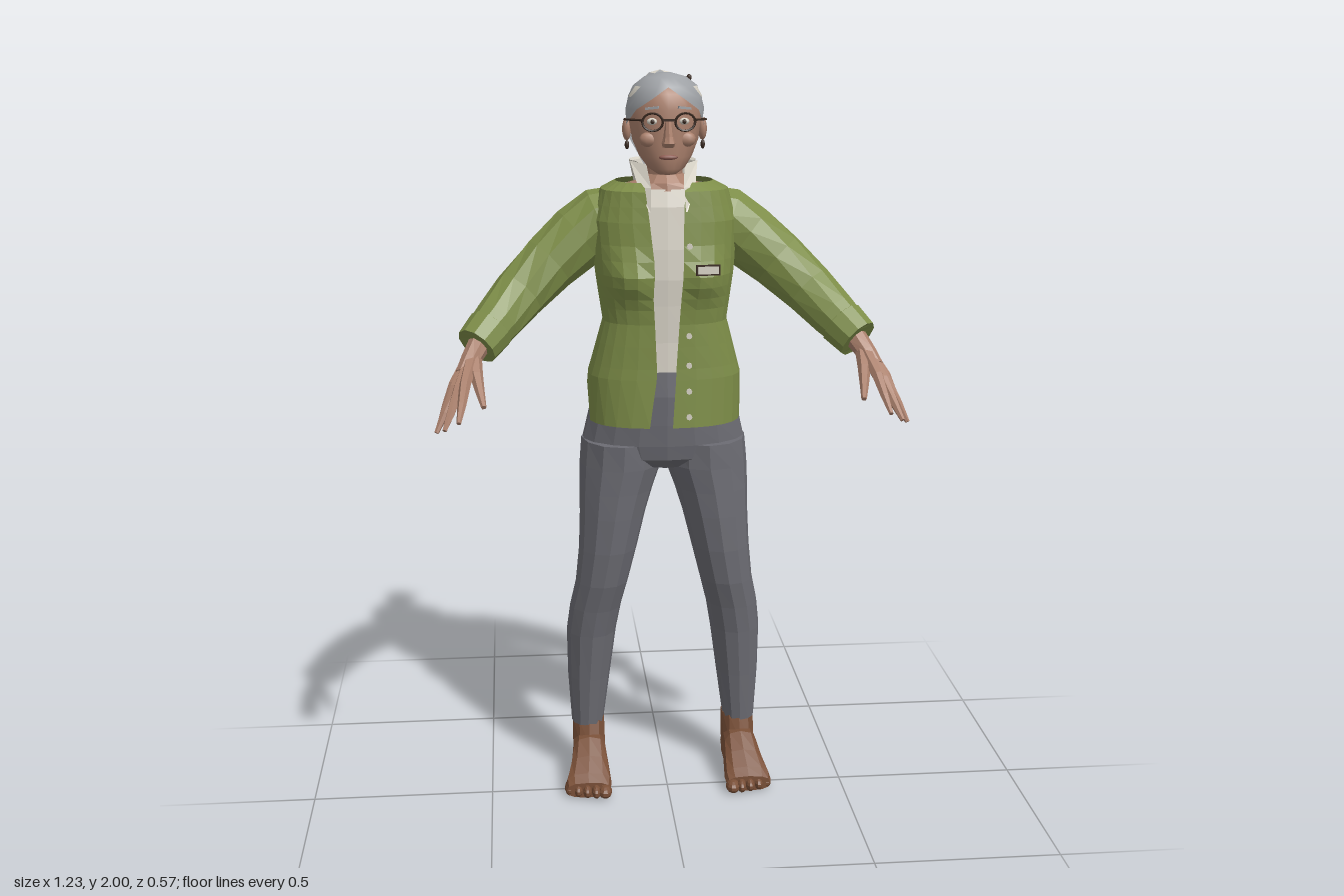
import * as THREE from 'three';
import { mergeVertices } from 'three/addons/utils/BufferGeometryUtils.js';

const V = (x, y, z) => new THREE.Vector3(x, y, z);
const { sin, cos, abs, sign, PI } = Math;

// Skin a list of equal-length rings; pick(i, j) sends quads to a second material
function loft(rings, { cap = false, pick = null } = {}) {
  const n = rings[0].length, pos = [], quads = [[], []];
  rings.forEach(r => r.forEach(p => pos.push(p.x, p.y, p.z)));
  for (let i = 0; i < rings.length - 1; i++)
    for (let j = 0; j < n - 1; j++) {
      const a = i * n + j, b = a + n;
      quads[pick && pick(i, j) ? 1 : 0].push(a, b, b + 1, a, b + 1, a + 1);
    }
  if (cap) for (const i of [0, rings.length - 1]) {
    const c = rings[i].slice(1).reduce((s, p) => s.add(p), V(0, 0, 0)).divideScalar(n - 1);
    const k = pos.length / 3;
    pos.push(c.x, c.y, c.z);
    for (let j = 0; j < n - 1; j++) {
      const a = i * n + j;
      quads[0].push(k, ...(i === 0 ? [a, a + 1] : [a + 1, a]));
    }
  }
  const g = new THREE.BufferGeometry();
  g.setAttribute('position', new THREE.Float32BufferAttribute(pos, 3));
  g.setIndex([...quads[0], ...quads[1]]);
  if (pick) {
    g.addGroup(0, quads[0].length, 0);
    g.addGroup(quads[0].length, quads[1].length, 1);
  }
  return g;
}

// Horizontal (super)ellipse ring running from angle a0 to a1, 0 = front
function ring(y, cx, rx, zf, zb, n, a0 = 0, a1 = 2 * PI, p = 1) {
  const zc = (zf + zb) / 2, rz = (zf - zb) / 2;
  const pw = v => sign(v) * abs(v) ** p;
  return Array.from({ length: n + 1 }, (_, j) => {
    const a = a0 + (a1 - a0) * j / n;
    return V(cx + rx * pw(sin(a)), y, zc + rz * pw(cos(a)));
  });
}

// Round limb through points [x, y, z, radius]
function limb(pts, n, cap = true) {
  const P = pts.map(p => V(p[0], p[1], p[2]));
  return loft(P.map((c, i) => {
    const t = P[Math.min(i + 1, P.length - 1)].clone().sub(P[Math.max(i - 1, 0)]).normalize();
    const u = V(0, 1, 0).cross(t).normalize(), v = u.clone().cross(t);
    return Array.from({ length: n + 1 }, (_, j) => {
      const a = 2 * PI * j / n;
      return c.clone().addScaledVector(u, pts[i][3] * cos(a)).addScaledVector(v, pts[i][3] * sin(a));
    });
  }), { cap });
}

// Torso section by height: [y, half width, front z, back z, right edge, left edge of the jacket opening]
const TORSO = [
  [1.72, .13, -.01, -.19, .06, .05], [1.70, .17, .02, -.21, .058, .045], [1.62, .195, .03, -.225, .048, .042],
  [1.5, .19, .042, -.235, .035, .04], [1.43, .18, .038, -.222, .04, .035], [1.35, .168, .03, -.2, .035, .03],
  [1.23, .2, .032, -.235, .03, .022], [1.18, .214, .035, -.255, .032, .02], [1.07, .21, .04, -.285, .05, .012]];
function torso(y) {
  let i = 0;
  while (i < TORSO.length - 2 && y < TORSO[i + 1][0]) i++;
  const a = TORSO[i], b = TORSO[i + 1], t = (a[0] - y) / (a[0] - b[0]);
  return a.map((v, k) => v + (b[k] - v) * t);
}
const bust = (x, y) => .03 * Math.exp(-(((abs(x) - .1) / .055) ** 2) - ((y - 1.47) / .05) ** 2);
function torsoFront(x, y) {
  const [, rx, zf, zb] = torso(y);
  return (zf + zb) / 2 + (zf - zb) / 2 * (1 - (abs(x) / rx) ** 2.5) ** .4 + bust(x, y);
}

export function createModel() {
  const root = new THREE.Group();
  const mat = (name, color, side = THREE.FrontSide) => {
    const m = new THREE.MeshStandardMaterial({ color, side });
    m.name = name;
    return m;
  };
  const jacket = mat('olive jacket', 0x7d8d48, THREE.DoubleSide);
  const cream = mat('cream', 0xd6d1c5, THREE.DoubleSide);
  const hair = mat('grey hair', 0x9fa2a6, THREE.DoubleSide);
  const skin = mat('skin', 0xaa806c), trousers = mat('grey trousers', 0x6c6c73);
  const shoe = mat('brown feet', 0x7a5038), dark = mat('dark brown', 0x38281f), lip = mat('lips', 0x8c5a50);

  function add(name, geo, material, smooth = false) {
    geo.deleteAttribute('uv');
    if (smooth) {
      geo.deleteAttribute('normal');
      geo = mergeVertices(geo, 1e-5);
    } else if (geo.index) geo = geo.toNonIndexed();
    geo.computeVertexNormals();
    const m = new THREE.Mesh(geo, material);
    m.name = name;
    root.add(m);
    return m;
  }
  const ball = (name, x, y, z, sx, sy, sz, m, smooth = true) =>
    add(name, new THREE.SphereGeometry(1, 10, 7).scale(sx, sy, sz).translate(x, y, z), m, smooth);

  // Jacket body, open down the front, with a stepped hem
  const ys = [1.72, 1.70, 1.66, 1.62, 1.56, 1.52, 1.48, 1.45, 1.42, 1.39, 1.35, 1.29, 1.23, 1.2, 1.07];
  add('jacketBody', loft(ys.map(y => {
    const [, rx, zf, zb, wr, wl] = torso(y);
    const ang = w => Math.asin((w / rx) ** 1.25);
    const r = ring(y, 0, rx, zf, zb, 26, ang(wl), 2 * PI - ang(wr), .8);
    r.forEach(p => {
      if (p.z > (zf + zb) / 2) p.z += bust(p.x, y);
      if (y === 1.07 && p.z < -.09) p.y = 1.19 - .13 * (-.09 - p.z) / .195;
    });
    return r;
  })), jacket);

  // Shirt under the jacket
  add('shirt', loft([1.705, 1.66, 1.55, 1.47, 1.4, 1.3, 1.22].map(y => {
    const [, rx, zf, zb] = torso(y);
    return ring(y, 0, rx - .022, zf - .01, zb + .015, 20, 0, 2 * PI, .8);
  })), cream);
  for (const y of [1.56, 1.32, 1.24, 1.17, 1.1])
    add('button', new THREE.CylinderGeometry(.008, .008, .006, 8).rotateX(PI / 2)
      .translate(.056, y, torsoFront(.056, y) + .003), cream);

  // Plain chest badge
  const badge = (name, w, h, d, m) => add(name, new THREE.BoxGeometry(w, h, .006).rotateY(.12)
    .translate(.103, 1.5, torsoFront(.103, 1.5) + d), m);
  badge('badgeRim', .064, .028, .005, dark);
  badge('badge', .056, .02, .007, cream);

  // Neck and collar
  add('neck', loft([ring(1.8, 0, .045, -.02, -.13, 12), ring(1.74, 0, .048, -.02, -.14, 12),
    ring(1.72, 0, .07, 0, -.17, 12), ring(1.7, 0, .145, .005, -.195, 12)]), skin);
  add('collar', loft([ring(1.765, 0, .08, -.05, -.225, 14, 1, 2 * PI - 1), ring(1.77, 0, .09, -.045, -.235, 14, 1, 2 * PI - 1),
    ring(1.7, 0, .075, -.065, -.215, 14, 1, 2 * PI - 1)]), cream);

  // Pelvis
  add('pelvis', loft([ring(1.25, 0, .165, .01, -.19, 18), ring(1.15, 0, .195, .018, -.235, 18),
    ring(1.07, 0, .212, .015, -.262, 18), ring(1.01, 0, .226, .01, -.268, 18),
    ring(.97, 0, .2, .002, -.255, 18), ring(.94, 0, .08, -.03, -.19, 18)], { cap: true }), trousers);

  for (const s of [1, -1]) {
    const side = s > 0 ? 'left' : 'right';

    // Collar points lying on the shirt
    add(side + 'CollarPoint', loft([[V(s * .09, 1.77, -.1), V(s * .05, 1.765, -.05)],
      [V(s * .075, 1.71, -.01), V(s * .043, 1.71, .012)], [V(s * .05, 1.65, .035), V(s * .046, 1.65, .036)]]), cream);

    // Sleeve with a turned cuff
    add(side + 'Sleeve', limb([[s * .1, 1.62, -.125, .085], [s * .17, 1.605, -.128, .092], [s * .23, 1.565, -.122, .088],
      [s * .31, 1.5, -.1, .08], [s * .39, 1.425, -.058, .072], [s * .45, 1.365, .003, .064],
      [s * .475, 1.34, .028, .059]], 11, false), jacket);
    add(side + 'Cuff', limb([[s * .465, 1.35, .018, .058], [s * .467, 1.348, .02, .064], [s * .505, 1.31, .058, .058],
      [s * .504, 1.311, .057, .048], [s * .48, 1.335, .033, .04]], 11, false), jacket);

    // Forearm, then fingers running from the wrist over the knuckles
    add(side + 'Forearm', limb([[s * .44, 1.38, -.01, .034], [s * .5, 1.312, .06, .03], [s * .522, 1.28, .095, .026],
      [s * .54, 1.25, .125, .022]], 8), skin);
    const fingers = [
      [[.535, 1.237, .178], [.543, 1.196, .235], [.551, 1.16, .283]],
      [[.55, 1.226, .173], [.571, 1.174, .22], [.588, 1.135, .255]],
      [[.56, 1.222, .157], [.588, 1.166, .192], [.61, 1.12, .216]],
      [[.564, 1.226, .137], [.586, 1.174, .157], [.603, 1.133, .172]]];
    for (const [k, m, t] of fingers)
      add(side + 'Finger', limb([[s * .513, 1.295, .075, .022], [s * k[0], k[1], k[2], .0155],
        [s * m[0], m[1], m[2], .0115], [s * t[0], t[1], t[2], .006]], 6), skin);
    add(side + 'Thumb', limb([[s * .512, 1.288, .085, .02], [s * .506, 1.25, .145, .017],
      [s * .497, 1.218, .195, .012], [s * .488, 1.19, .24, .007]], 6), skin);

    // Trouser leg: [y, inner x, outer x, front z, back z]
    const leg = [[1.01, .002, .228, .01, -.268], [.94, .004, .234, .008, -.25], [.87, .03, .236, .006, -.23],
      [.8, .052, .236, .005, -.212], [.7, .077, .24, 0, -.19], [.6, .102, .25, -.012, -.185],
      [.52, .122, .267, -.032, -.197], [.44, .136, .277, -.047, -.215], [.3, .155, .275, -.066, -.205], [.155, .175, .266, -.083, -.185]];
    add(side + 'TrouserLeg', loft(leg.map(([y, a, b, zf, zb]) =>
      ring(y, s * (a + b) / 2, (b - a) / 2, zf, zb, 12)), { cap: true }), trousers);

    // Foot: ankle, body with a flat sole, toes
    add(side + 'Ankle', loft([ring(.165, s * .218, .047, -.085, -.198, 10), ring(.1, s * .218, .048, -.06, -.198, 10),
      ring(.03, s * .218, .046, -.04, -.2, 10)], { cap: true }), shoe);
    const foot = [[-.202, .218, .05, .028], [-.185, .218, .09, .042], [-.11, .218, .135, .048], [-.06, .219, .13, .05],
      [-.01, .222, .095, .057], [.035, .227, .063, .065], [.06, .228, .045, .062]];
    add(side + 'Foot', loft(foot.map(([z, x, h, w]) => Array.from({ length: 13 }, (_, j) => {
      const a = 2 * PI * j / 12, up = -sin(a);
      return V(s * x + w * sign(cos(a)) * abs(cos(a)) ** .7, Math.max(0, h / 2 + h / 2 * sign(up) * abs(up) ** .8), z);
    })), { cap: true }), shoe);
    for (let k = 0; k < 5; k++)
      ball(side + 'Toe', s * (.182 + k * .025), .019, .062 - k * k * .0018, k ? .013 : .02, .019, .03, shoe, false);

    // Side of the face: eye, brow, spectacles, ear, earring
    ball(side + 'Eye', s * .041, 1.882, .026, .014, .009, .012, cream);
    ball(side + 'Pupil', s * .041, 1.882, .035, .006, .006, .005, dark);
    add(side + 'Brow', new THREE.BoxGeometry(.035, .006, .008).rotateZ(-s * .12).rotateY(s * .35).translate(s * .042, 1.916, .031), hair);
    add(side + 'Rim', new THREE.TorusGeometry(.026, .0035, 5, 16).scale(1, .85, 1).rotateY(s * .15).translate(s * .042, 1.882, .05), dark);
    add(side + 'Temple', limb([[s * .068, 1.887, .047, .003], [s * .098, 1.887, .025, .003], [s * .106, 1.88, -.075, .003]], 5), dark);
    ball(side + 'Ear', s * .1, 1.855, -.075, .012, .03, .019, skin);
    ball(side + 'Earring', s * .1, 1.815, -.066, .006, .012, .006, dark);
    ball(side + 'Cheek', s * .048, 1.835, .012, .026, .02, .018, skin);
  }

  // Head
  const head = [[1.995, .015, -.04, -.08], [1.98, .05, -.01, -.115], [1.95, .083, .028, -.15], [1.91, .094, .037, -.165],
    [1.875, .094, .036, -.165], [1.83, .087, .037, -.15], [1.79, .07, .035, -.125], [1.76, .048, .033, -.08], [1.745, .025, .02, -.05]];
  add('head', loft(head.map(([y, rx, zf, zb]) => ring(y, 0, rx, zf, zb, 20)), { cap: true }), skin, true);
  add('nose', loft([ring(1.885, 0, .009, .043, .01, 8), ring(1.845, 0, .013, .06, .01, 8), ring(1.828, 0, .018, .069, .01, 8),
    ring(1.817, 0, .015, .056, .01, 8)], { cap: true }), skin);
  ball('lips', 0, 1.791, .032, .025, .007, .009, lip);
  add('bridge', new THREE.BoxGeometry(.034, .005, .005).translate(0, 1.887, .053), dark);

  // Hair, cut away around the face: [y, half width, front z, back z, opening angle]
  const cut = [[2, .018, -.03, -.09, 0], [1.99, .055, .003, -.125, 0], [1.968, .084, .033, -.155, 0], [1.94, .097, .044, -.17, .42],
    [1.91, .103, .047, -.177, .9], [1.87, .103, .046, -.177, 1.45], [1.83, .097, .04, -.172, 1.9],
    [1.79, .08, .03, -.16, 2.1], [1.745, .056, 0, -.147, 2.2]];
  const streak = (i, j) => (i === 1 && [6, 13].includes(j)) || (i === 2 && [3, 16].includes(j)) || (i === 4 && [5, 9, 14].includes(j));
  add('hair', loft(cut.map(([y, rx, zf, zb, a]) => ring(y, 0, rx, zf, zb, 20, a, 2 * PI - a)), { cap: true, pick: streak }), [hair, cream], true);

  // Bun with pale facets and a pin
  const bun = new THREE.IcosahedronGeometry(.052, 1).scale(1.05, .9, 1).translate(0, 1.953, -.213);
  for (let f = 0; f < 80; f++) bun.addGroup(f * 3, 3, f % 3 === 1 ? 1 : 0);
  add('bun', bun, [hair, cream]);
  add('hairpin', limb([[-.045, 1.93, -.2, .003], [.08, 1.978, -.224, .003]], 5), dark);
  ball('hairpinBead', .08, 1.978, -.224, .007, .009, .007, dark);
  return root;
}
